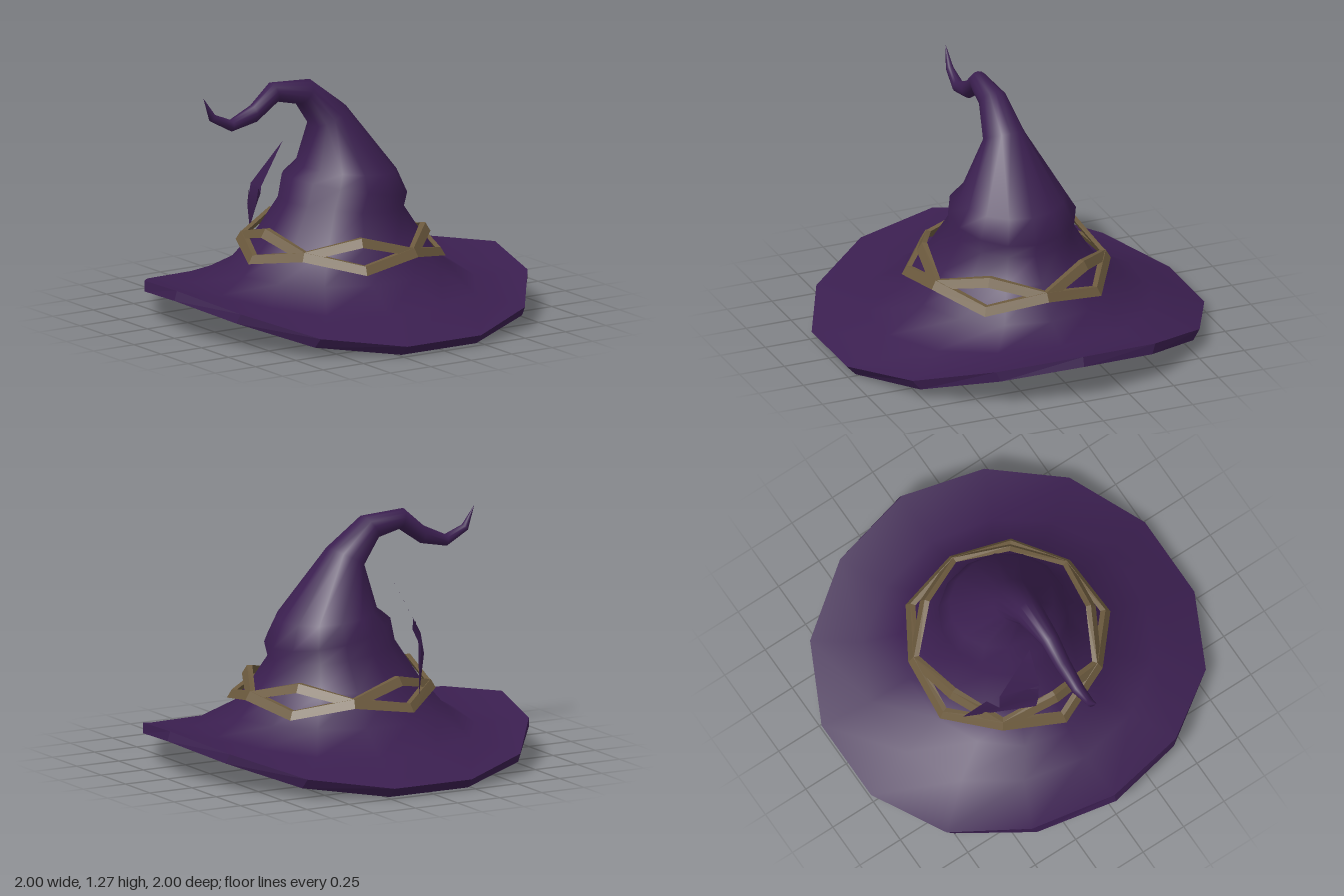
import * as THREE from 'three';

const SIDES = 14;

// Skin closed rings of [x, y, z] points; rings run from the inside outwards and up
function loft(rings) {
  const n = rings[0].length, index = [];
  for (let r = 0; r < rings.length - 1; r++) {
    for (let i = 0; i < n; i++) {
      const a = r * n + i, b = r * n + (i + 1) % n;
      index.push(a, a + n, b, a + n, b + n, b);
    }
  }
  return surface(rings.flat(), index);
}

function surface(points, index) {
  const geo = new THREE.BufferGeometry();
  geo.setAttribute('position', new THREE.Float32BufferAttribute(points.flat(), 3));
  geo.setIndex(index);
  geo.computeVertexNormals();
  return geo;
}

// Same skin with hard edges
function facetedLoft(rings) {
  const geo = loft(rings).toNonIndexed();
  geo.computeVertexNormals();
  return geo;
}

const ring = (point, n = SIDES) => Array.from({ length: n }, (_, i) => {
  const a = i / n * Math.PI * 2;
  return point(Math.cos(a), Math.sin(a), i);
});

// Tilted ring from its +x end, its -x end and its half width in z
const tilted = ([x1, y1, x2, y2, w]) => ring((c, s) => {
  const t = (1 + c) / 2;
  return [x2 + (x1 - x2) * t, y2 + (y1 - y2) * t, w * s];
});

// Ring that curls up, and so draws in a little, towards both x ends
const curled = (rx, rz, y, lift) => ring((c, s) => {
  const k = Math.abs(c);
  return [rx * c * (1 - Math.min(0.04, 0.055 * k ** 3)), y + lift * k ** 2.6, rz * s];
});

export function createModel() {
  const group = new THREE.Group();
  const purple = new THREE.MeshStandardMaterial({ color: 0x3b1f50 });
  const purpleLeaf = new THREE.MeshStandardMaterial({ color: 0x3b1f50, side: THREE.DoubleSide });
  const gold = new THREE.MeshStandardMaterial({ color: 0x6c5a3e });
  purple.name = 'purple cloth';
  purpleLeaf.name = 'purple feather';
  gold.name = 'dull gold';
  const add = (name, geo, mat) => {
    const mesh = new THREE.Mesh(geo, mat);
    mesh.name = name;
    group.add(mesh);
    return mesh;
  };

  const rimTop = curled(1.0257, 1.0257, 0.05, 0.2);
  const rimBottom = curled(1.0417, 0.975, -0.002, 0.202);

  // Brim top and bent crown in one smooth skin: [right x, y, left x, y, half depth]
  const profile = [
    [0.57, 0.27, -0.57, 0.27, 0.545],
    [0.44, 0.43, -0.43, 0.43, 0.415],
    [0.36, 0.55, -0.30, 0.63, 0.32],
    [0.375, 0.62, -0.27, 0.75, 0.335],
    [0.32, 0.75, -0.20, 0.80, 0.275],
    [0.04, 1.11, -0.15, 1.01, 0.11],
    [-0.16, 1.26, -0.24, 1.14, 0.075],
    [-0.40, 1.275, -0.37, 1.17, 0.05],
    [-0.52, 1.17, -0.50, 1.08, 0.042],
    [-0.65, 1.11, -0.65, 1.05, 0.033],
    [-0.75, 1.15, -0.78, 1.12, 0.02],
    [-0.82, 1.245, -0.82, 1.245, 0.001],
  ];
  add('brim and crown',
    loft([rimTop, curled(0.74, 0.76, 0.155, 0.035), ...profile.map(tilted)]), purple);

  // Brim edge
  add('brim edge', facetedLoft([rimBottom, rimTop]), purple);

  // Hollow lining, set in from the crown and closed at the neck
  const lining = profile.slice(0, 6).map(([x1, y1, x2, y2, w], i) => {
    const drop = i < 2 ? 0.048 : 0.015;
    return tilted([x1 - 0.05, y1 - drop, x2 + 0.05, y2 - drop, w - 0.05]);
  }).reverse();
  const liningTop = tilted([-0.12, 1.12, -0.13, 1.11, 0.005]);
  add('lining', loft([liningTop, ...lining, curled(0.72, 0.73, 0.085, 0.035), rimBottom]), purple);

  // Two thin zigzag bands that meet at every second corner
  const band = (name, rMeet, yFar, rFar) => {
    const edge = (dr, dy) => ring((c, s, i) => {
      const r = (i % 2 ? rFar : rMeet) + dr;
      return [r * c, (i % 2 ? yFar : 0.4) + dy - 0.012 * c, r * s];
    }, 10);
    const inner = edge(-0.015, -0.022);
    const geo = facetedLoft(
      [inner, edge(0.014, -0.022), edge(-0.012, 0.022), edge(-0.04, 0.022), inner]);
    add(name, geo, gold).position.x = 0.012;
  };
  band('upper band', 0.508, 0.472, 0.462);
  band('lower band', 0.512, 0.342, 0.54);

  // Ragged feather: rooted in the bands at the back, leaning forward to its tip
  const outline = [
    [-0.24, 0.40, -0.44], [-0.31, 0.64, -0.34], [-0.355, 0.57, -0.29], [-0.34, 0.68, -0.28],
    [-0.29, 0.94, -0.06], [-0.41, 0.71, -0.08], [-0.38, 0.66, -0.13], [-0.42, 0.70, -0.09],
    [-0.43, 0.60, -0.10], [-0.44, 0.53, -0.12],
  ];
  const flat = outline.map(([x, y]) => new THREE.Vector2(x, y));
  const faces = THREE.ShapeUtils.triangulateShape(flat, []);
  add('feather', surface(outline, faces.flat()), purpleLeaf);

  return group;
}
